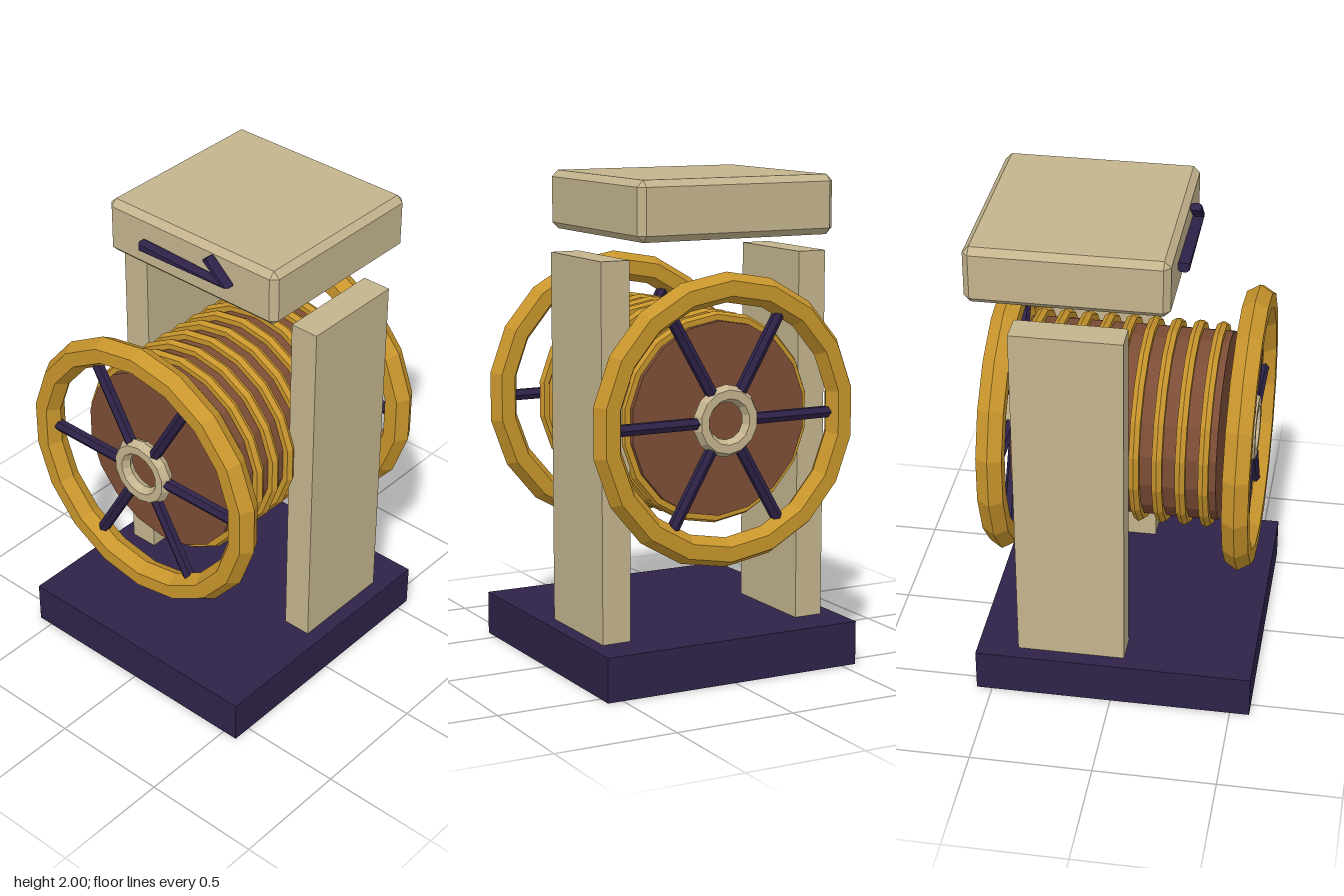
import * as THREE from 'three';
import { ConvexGeometry } from 'three/addons/geometries/ConvexGeometry.js';

const paint = (name, color) => {
  const m = new THREE.MeshStandardMaterial({ color });
  m.name = name;
  return m;
};

// Split the faces so that every facet is flat
function faceted(geometry) {
  const g = geometry.index ? geometry.toNonIndexed() : geometry;
  g.computeVertexNormals();
  return g;
}

// Ring with a six-sided section, one corner at the very top
function ring(radius, tube, sides) {
  return faceted(new THREE.TorusGeometry(radius, tube, 6, sides).rotateZ(Math.PI / 2));
}

// Box with every edge cut at 45 degrees
function chamferedBox(w, h, d, c) {
  const pts = [];
  for (const x of [-w / 2, w / 2]) for (const y of [-h / 2, h / 2]) for (const z of [-d / 2, d / 2]) {
    const ix = x - Math.sign(x) * c, iy = y - Math.sign(y) * c, iz = z - Math.sign(z) * c;
    pts.push(new THREE.Vector3(x, iy, iz), new THREE.Vector3(ix, y, iz), new THREE.Vector3(ix, iy, z));
  }
  return new ConvexGeometry(pts);
}

export function createModel() {
  const navy = paint('navy', 0x2e2248);
  const sand = paint('sand', 0xc4b48e);
  const gold = paint('gold', 0xc8952c);
  const brown = paint('brown', 0x7c4d36);

  const model = new THREE.Group();
  model.name = 'winch';
  const add = (name, geometry, material, x = 0, y = 0, z = 0, parent = model) => {
    const mesh = new THREE.Mesh(geometry, material);
    mesh.name = name;
    mesh.position.set(x, y, z);
    parent.add(mesh);
    return mesh;
  };
  const axisY = 1.043;

  // Base and the two posts
  add('base', new THREE.BoxGeometry(1.13, 0.18, 1.145), navy, 0, 0.09, 0.008);
  for (const s of [-1, 1]) {
    add(s > 0 ? 'leftPost' : 'rightPost', new THREE.BoxGeometry(0.122, 1.51, 0.445), sand, s * 0.441, 0.93, -0.173);
  }

  // Canopy block floating above the posts
  add('canopy', chamferedBox(0.858, 0.235, 0.795, 0.026), sand, 0, 1.8825, -0.183);

  // Half-headed arrow on the canopy front
  const bar = (points) => {
    const shape = new THREE.Shape(points.map(([x, y]) => new THREE.Vector2(x, y)));
    return faceted(new THREE.ExtrudeGeometry(shape, {
      depth: 0.025, bevelEnabled: true, bevelThickness: 0.01, bevelSize: 0.006, bevelOffset: -0.006, bevelSegments: 1,
    }));
  };
  add('arrowShaft', bar([[-0.227, 1.863], [0.215, 1.873], [0.23, 1.882], [0.215, 1.888], [-0.227, 1.902]]), navy, 0, 0, 0.224);
  add('arrowHead', bar([[0.103, 1.957], [0.2, 1.876], [0.232, 1.88], [0.225, 1.89], [0.128, 1.977]]), navy, 0, 0, 0.224);

  // Drum with rope coils
  const drum = faceted(new THREE.CylinderGeometry(0.39, 0.39, 0.825, 18).rotateX(Math.PI / 2));
  add('drum', drum, brown, 0, axisY, -0.015);
  const coil = ring(0.402, 0.023, 18);
  for (let i = 0; i < 9; i++) add('ropeCoil', coil, gold, 0, axisY, 0.349 - i * 0.092);

  // A spoked wheel at each end of the drum
  const rim = ring(0.5275, 0.06, 18);
  const hub = ring(0.11, 0.035, 14);
  const spoke = faceted(new THREE.CylinderGeometry(0.025, 0.025, 0.365, 6).translate(0, 0.3, 0));
  for (const [name, z] of [['frontWheel', 0.4925], ['backWheel', -0.4775]]) {
    const wheel = new THREE.Group();
    wheel.name = name;
    wheel.position.set(0, axisY, z);
    model.add(wheel);
    add('rim', rim, gold, 0, 0, 0, wheel);
    add('hub', hub, sand, 0, 0, 0, wheel);
    for (let i = 0; i < 6; i++) {
      add('spoke', spoke, navy, 0, 0, 0, wheel).rotation.z = Math.PI / 2 + i * Math.PI / 3;
    }
  }
  return model;
}
